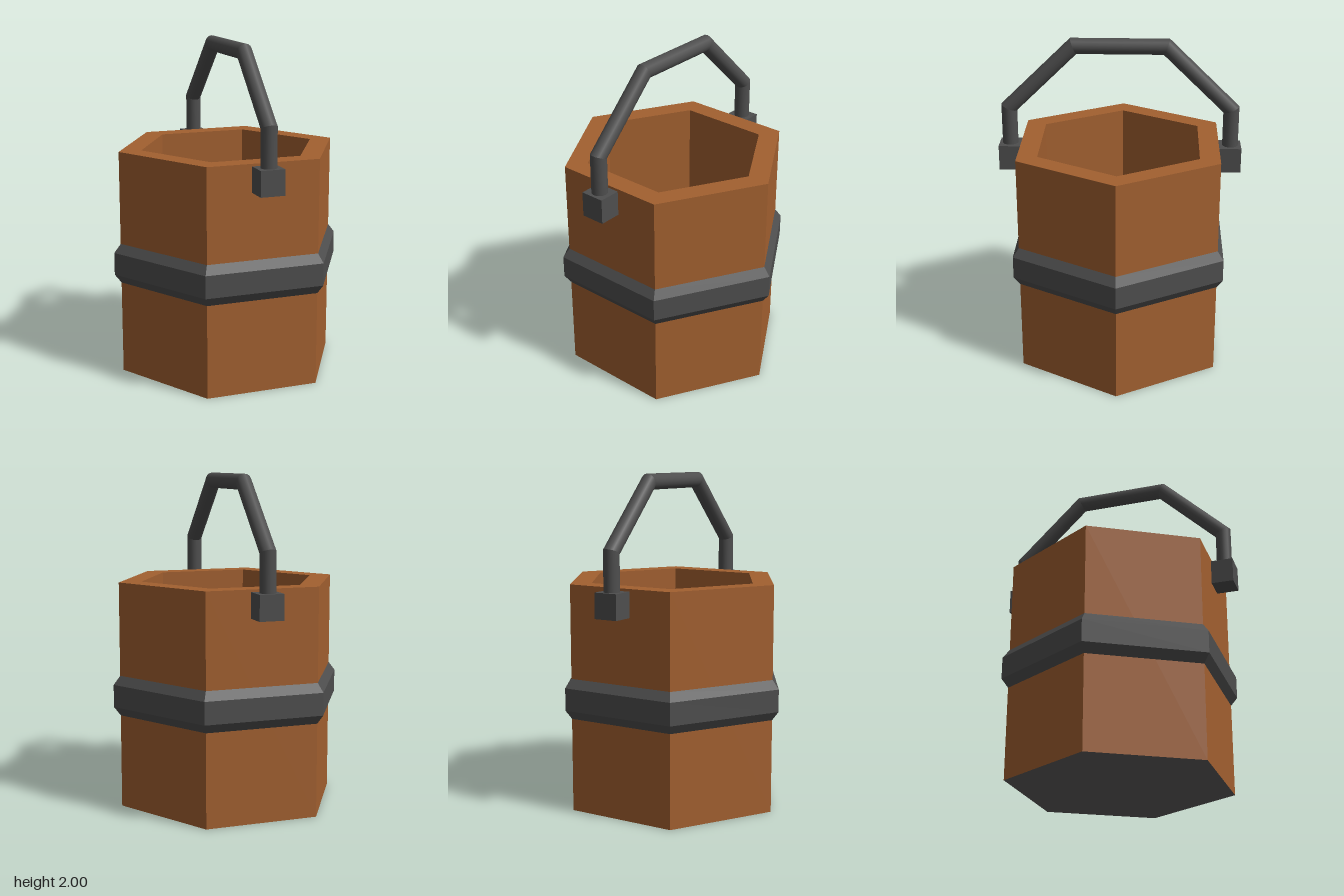
import * as THREE from 'three';

const wood = new THREE.MeshStandardMaterial({ name: 'wood', color: 0xa26030 });
const metal = new THREE.MeshStandardMaterial({ name: 'darkMetal', color: 0x4e4e4e });
const base = new THREE.MeshStandardMaterial({ name: 'baseGrey', color: 0x605c5c });

const HEIGHT = 1.365, RADIUS = 0.683, INNER = 0.545, FLOOR = 0.12;

function add(parent, name, geometry, material) {
  const mesh = new THREE.Mesh(geometry, material);
  mesh.name = name;
  parent.add(mesh);
  return mesh;
}

// Six-sided flat-faced solid with corners on the x axis, from [radius, y] pairs
function hexLathe(profile) {
  const points = profile.map(([r, y]) => new THREE.Vector2(r, y));
  const geometry = new THREE.LatheGeometry(points, 6, Math.PI / 2).toNonIndexed();
  geometry.computeVertexNormals();
  return geometry;
}

// Straight round bar between two mitred joints; a joint is { p, out } in the yz plane
function mitredBar(a, b, radius) {
  const geometry = new THREE.CylinderGeometry(1, 1, 1, 16, 1, true);
  const pos = geometry.attributes.position;
  const normal = geometry.attributes.normal;
  const dir = b.p.clone().sub(a.p).normalize();
  const side = new THREE.Vector3(0, -dir.z, dir.y);
  for (let i = 0; i < pos.count; i++) {
    const x = pos.getX(i), s = pos.getZ(i);
    const joint = pos.getY(i) > 0 ? b : a;
    const v = joint.p.clone().addScaledVector(joint.out, s * radius / joint.out.dot(side));
    pos.setXYZ(i, x * radius, v.y, v.z);
    normal.setXYZ(i, x, side.y * s, side.z * s);
  }
  return geometry;
}

export function createModel() {
  const bucket = new THREE.Group();
  bucket.name = 'bucket';

  // Hollow hexagonal tub: outer wall, rim, inner wall and inner floor
  add(bucket, 'tub', hexLathe([
    [RADIUS, 0], [RADIUS, HEIGHT], [INNER, HEIGHT], [INNER, FLOOR], [0, FLOOR],
  ]), wood);
  add(bucket, 'underside', new THREE.CircleGeometry(RADIUS, 6).rotateX(Math.PI / 2), base);

  // Bevelled band around the middle
  add(bucket, 'band', hexLathe([
    [RADIUS - 0.01, 0.56], [RADIUS, 0.563], [0.724, 0.617],
    [0.724, 0.752], [RADIUS, 0.805], [RADIUS - 0.01, 0.807],
  ]), metal);

  // Handle brackets on front and back
  for (const s of [1, -1]) {
    const bracket = add(bucket, s > 0 ? 'frontBracket' : 'backBracket',
      new THREE.BoxGeometry(0.146, 0.15, 0.145), metal);
    bracket.position.set(0, 1.275, s * 0.652);
  }

  // Angular handle: five round bars meeting at mitred corners
  const path = [[1.3, 0.66], [1.575, 0.66], [1.953, 0.272],
    [1.953, -0.272], [1.575, -0.66], [1.3, -0.66]]
    .map(([y, z]) => new THREE.Vector3(0, y, z));
  const joints = path.map((p, i) => {
    const before = path[Math.max(i - 1, 0)], after = path[Math.min(i + 1, path.length - 1)];
    const tangent = new THREE.Vector3();
    if (before !== p) tangent.add(p.clone().sub(before).normalize());
    if (after !== p) tangent.add(after.clone().sub(p).normalize());
    tangent.normalize();
    return { p, out: new THREE.Vector3(0, -tangent.z, tangent.y) };
  });
  const handle = new THREE.Group();
  handle.name = 'handle';
  for (let i = 0; i < joints.length - 1; i++) {
    add(handle, 'handleBar' + (i + 1), mitredBar(joints[i], joints[i + 1], 0.047), metal);
  }
  bucket.add(handle);

  return bucket;
}
